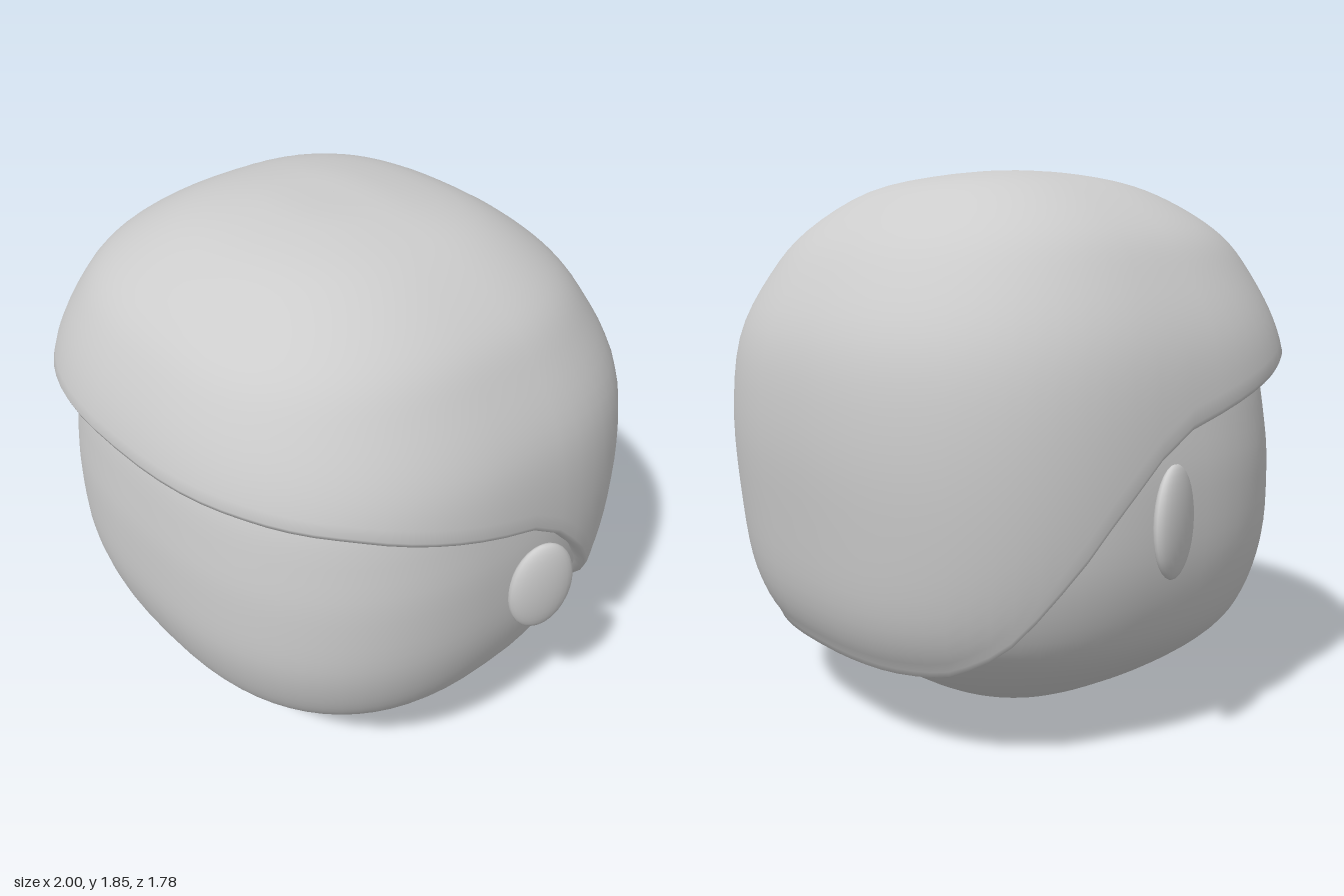
import * as THREE from 'three';

const SEG = 72;

// Rows of [height, half width, front depth, back depth], top to bottom
const HEAD = [
  [1.76, 0.001, 0.001, -0.001], [1.74, 0.2, 0.2, -0.18], [1.66, 0.45, 0.45, -0.42],
  [1.5, 0.66, 0.63, -0.62], [1.25, 0.83, 0.79, -0.76], [1.0, 0.89, 0.835, -0.82],
  [0.8, 0.905, 0.845, -0.83], [0.6, 0.895, 0.835, -0.81], [0.42, 0.845, 0.785, -0.74],
  [0.3, 0.765, 0.715, -0.65], [0.18, 0.61, 0.6, -0.52], [0.08, 0.43, 0.43, -0.36],
  [0.02, 0.23, 0.23, -0.19], [0, 0.001, 0.001, -0.001],
];
const CAP = [
  [1.845, 0.001, 0.001, -0.001], [1.837, 0.23, 0.22, -0.17], [1.78, 0.47, 0.46, -0.42],
  [1.65, 0.69, 0.68, -0.62], [1.5, 0.81, 0.8, -0.75], [1.28, 0.92, 0.885, -0.86],
  [1.0, 0.958, 0.91, -0.89], [0.7, 0.95, 0.91, -0.87], [0.47, 0.9, 0.88, -0.84],
  [0.32, 0.82, 0.8, -0.78], [0.22, 0.72, 0.7, -0.69],
];

// Lower edge of the cap as [depth, height], front to back
const RIM = [
  [0.9, 1.27], [0.8, 1.265], [0.6, 1.235], [0.35, 1.165], [0, 1.065], [-0.15, 0.97],
  [-0.3, 0.8], [-0.45, 0.59], [-0.55, 0.42], [-0.64, 0.32], [-0.72, 0.3],
];
// Rounded lip turning inward: [height offset, plan scale]
const LIP = [[-0.018, 0.992], [-0.024, 0.975], [-0.014, 0.955], [0.03, 0.91], [0.1, 0.86]];

// Smooth interpolation through the rows
function sample(rows, u) {
  const n = rows.length - 1;
  const i = Math.min(Math.floor(u), n - 1), t = u - i;
  const row = (k) => rows[Math.max(0, Math.min(n, k))];
  return rows[0].map((_, c) => {
    const a = row(i - 1)[c], b = row(i)[c], d = row(i + 1)[c], e = row(i + 2)[c];
    return b + 0.5 * t * (d - a + t * (2 * a - 5 * b + 4 * d - e + t * (3 * (b - d) + e - a)));
  });
}

// Point on the rounded-square section at row position u and plan angle
function surfacePoint(rows, u, angle) {
  const [y, hx, zf, zb] = sample(rows, u);
  const round = (v) => Math.sign(v) * Math.pow(Math.abs(v), 2 / 2.5);
  const s = round(Math.sin(angle)), c = round(Math.cos(angle));
  return new THREE.Vector3(hx * s, y, c >= 0 ? zf * c : -zb * c);
}

function rimHeight(z) {
  if (z >= RIM[0][0]) return RIM[0][1];
  for (let i = 1; i < RIM.length; i++) {
    const [z0, y0] = RIM[i - 1], [z1, y1] = RIM[i];
    if (z >= z1) return y0 + (y1 - y0) * (z - z0) / (z1 - z0);
  }
  return RIM[RIM.length - 1][1];
}

// Row position where a cap column meets the rim
function rimPosition(angle) {
  let lo = 0, hi = CAP.length - 1;
  for (let k = 0; k < 30; k++) {
    const mid = (lo + hi) / 2, p = surfacePoint(CAP, mid, angle);
    if (p.y > rimHeight(p.z)) lo = mid; else hi = mid;
  }
  return lo;
}

// Closed rings from columns of points running downward
function loft(columns) {
  const rows = columns[0].length, n = columns.length;
  const pos = [], idx = [];
  for (let i = 0; i < rows; i++) {
    for (let j = 0; j < n; j++) pos.push(...columns[j][i].toArray());
  }
  for (let i = 0; i < rows - 1; i++) {
    for (let j = 0; j < n; j++) {
      const k = (j + 1) % n;
      const a = i * n + j, b = i * n + k, c = a + n, d = b + n;
      idx.push(a, c, b, b, c, d);
    }
  }
  const geo = new THREE.BufferGeometry();
  geo.setAttribute('position', new THREE.Float32BufferAttribute(pos, 3));
  geo.setIndex(idx);
  geo.computeVertexNormals();
  return geo;
}

function buildColumns(makeColumn) {
  return Array.from({ length: SEG }, (_, j) => makeColumn((j / SEG) * Math.PI * 2));
}

export function createModel() {
  const group = new THREE.Group();
  const grey = new THREE.MeshStandardMaterial({ color: 0xcccccc });
  grey.name = 'plainGrey';
  const add = (name, geo) => {
    const mesh = new THREE.Mesh(geo, grey);
    mesh.name = name;
    group.add(mesh);
    return mesh;
  };

  // Head
  add('head', loft(buildColumns((angle) => {
    const steps = 52;
    return Array.from({ length: steps + 1 }, (_, i) =>
      surfacePoint(HEAD, (i / steps) * (HEAD.length - 1), angle));
  })));

  // Hair cap with a rolled lower lip
  add('hairCap', loft(buildColumns((angle) => {
    const steps = 36, end = rimPosition(angle);
    const column = Array.from({ length: steps + 1 }, (_, i) =>
      surfacePoint(CAP, (i / steps) * end, angle));
    const rim = column[steps];
    for (const [dy, k] of LIP) column.push(new THREE.Vector3(rim.x * k, rim.y + dy, rim.z * k));
    return column;
  })));

  // Ears, with the rear edge flared outward
  for (const side of [1, -1]) {
    const ear = add(side > 0 ? 'leftEar' : 'rightEar', new THREE.SphereGeometry(1, 24, 16));
    ear.scale.set(0.04, 0.175, 0.115);
    ear.position.set(side * 0.946, 0.777, -0.07);
    ear.rotation.y = -side * 0.35;
  }
  return group;
}
